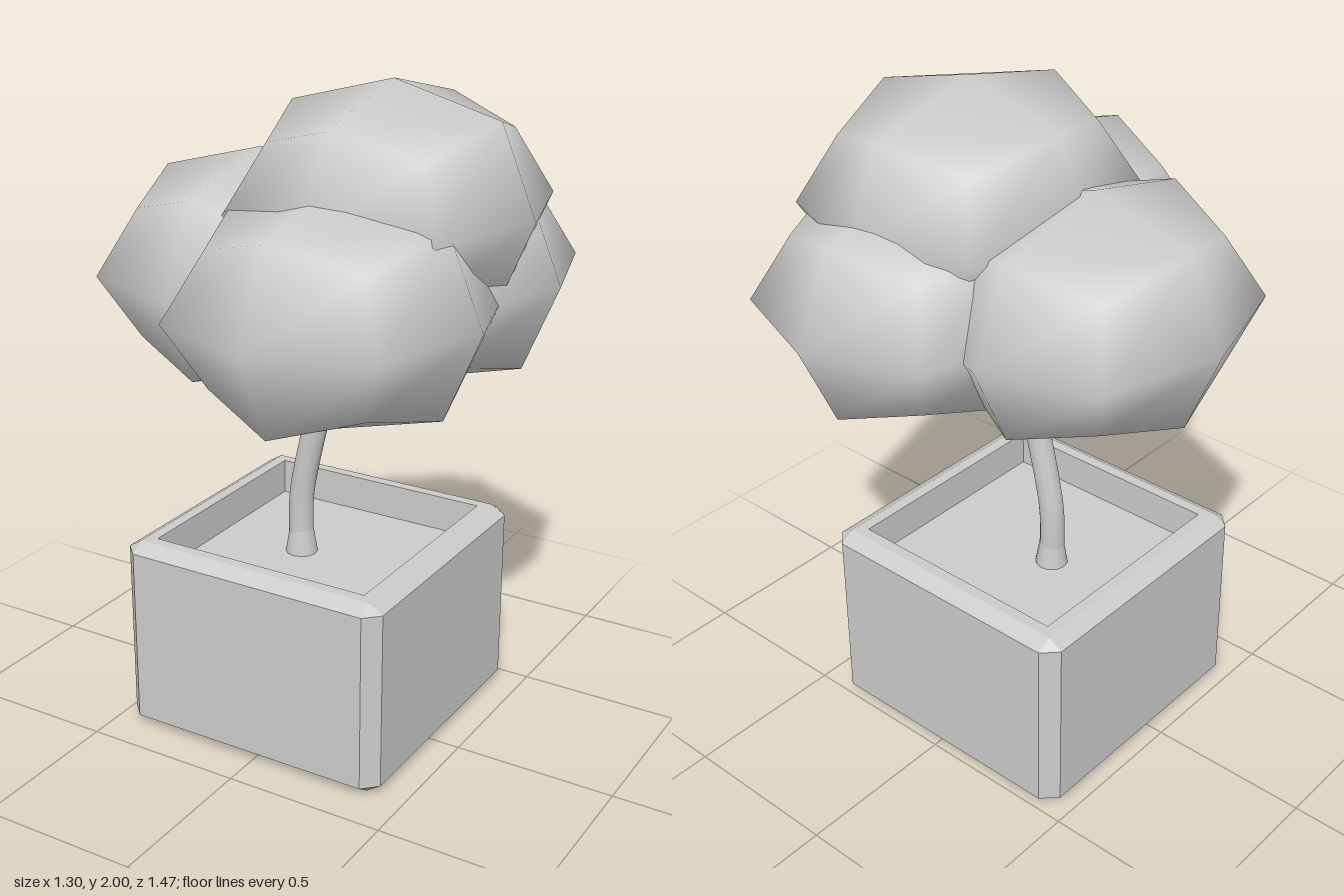
import * as THREE from 'three';
import { mergeVertices } from 'three/addons/utils/BufferGeometryUtils.js';

const grey = new THREE.MeshStandardMaterial({ color: 0xcccccc });
const CENTRE_Z = -0.05;

function addMesh(group, name, geometry, x = 0, y = 0, z = 0) {
  const mesh = new THREE.Mesh(geometry, grey);
  mesh.name = name;
  mesh.position.set(x, y, z);
  group.add(mesh);
  return mesh;
}

// Rounded leaf clump: a 2x2x2 cube smoothed once (face, edge and corner points pulled in)
function clumpGeometry(rx, ry, rz) {
  const box = new THREE.BoxGeometry(2, 2, 2, 2, 2, 2);
  box.deleteAttribute('normal');
  box.deleteAttribute('uv');
  const geometry = mergeVertices(box);
  const pos = geometry.attributes.position;
  const pull = [0, 1, 0.75, 5 / 9];
  const v = new THREE.Vector3();
  for (let i = 0; i < pos.count; i++) {
    v.fromBufferAttribute(pos, i);
    const k = pull[Math.round(Math.abs(v.x) + Math.abs(v.y) + Math.abs(v.z))];
    pos.setXYZ(i, v.x * k * rx, v.y * k * ry, v.z * k * rz);
  }
  geometry.computeVertexNormals();
  return geometry;
}

// Chamfered planter from stacked eight-point rings; a = reach, b = corner start
function planterGeometry() {
  const rings = [
    [0, 0, 0], [0.395, 0.395, 0], [0.44, 0.395, 0.03], [0.44, 0.395, 0.585],
    [0.395, 0.395, 0.613], [0.36, 0.36, 0.613], [0.36, 0.36, 0.5], [0, 0, 0.5],
  ].map(([a, b, y]) =>
    [[a, b], [b, a], [-b, a], [-a, b], [-a, -b], [-b, -a], [b, -a], [a, -b]]
      .map(([x, z]) => new THREE.Vector3(x, y, z)));
  const points = [];
  const triangle = (p, q, r) => {
    const area = q.clone().sub(p).cross(r.clone().sub(p)).length();
    if (area > 1e-8) points.push(p, q, r);
  };
  for (let i = 0; i < rings.length - 1; i++) {
    for (let j = 0; j < 8; j++) {
      const k = (j + 1) % 8;
      const [a, b, c, d] = [rings[i][j], rings[i][k], rings[i + 1][k], rings[i + 1][j]];
      triangle(a, d, c);
      triangle(a, c, b);
    }
  }
  const geometry = new THREE.BufferGeometry().setFromPoints(points);
  geometry.computeVertexNormals();
  return geometry;
}

// Round limb along a smooth path in the xy plane
function limbGeometry(path, radius) {
  const curve = new THREE.CatmullRomCurve3(path.map(([x, y]) => new THREE.Vector3(x, y, 0)));
  return new THREE.TubeGeometry(curve, 24, radius, 12);
}

export function createModel() {
  const tree = new THREE.Group();
  tree.name = 'pottedTree';

  // Planter with recessed soil
  addMesh(tree, 'planter', planterGeometry(), -0.02, 0, CENTRE_Z);

  // Trunk, flared foot and side branch
  addMesh(tree, 'trunk', limbGeometry(
    [[-0.09, 0.5], [-0.092, 0.62], [-0.087, 0.71], [-0.04, 0.93], [0.01, 1.13], [0.06, 1.3]], 0.038),
  0, 0, CENTRE_Z);
  addMesh(tree, 'trunkFoot', new THREE.CylinderGeometry(0.037, 0.05, 0.08, 12, 1, true), -0.09, 0.54, CENTRE_Z);
  addMesh(tree, 'branch', limbGeometry(
    [[-0.03, 0.96], [-0.075, 0.99], [-0.115, 1.05], [-0.145, 1.11], [-0.17, 1.2]], 0.023),
  0, 0, CENTRE_Z);

  // Four equal leaf clumps
  const clump = clumpGeometry(0.44, 0.35, 0.487);
  const clumps = {
    rightFoliage: [-0.213, 1.42, -0.025],
    topFoliage: [0.21, 1.65, -0.055],
    backFoliage: [0.21, 1.42, -0.25],
    frontFoliage: [0.21, 1.42, 0.247],
  };
  for (const [name, position] of Object.entries(clumps)) addMesh(tree, name, clump, ...position);

  return tree;
}
